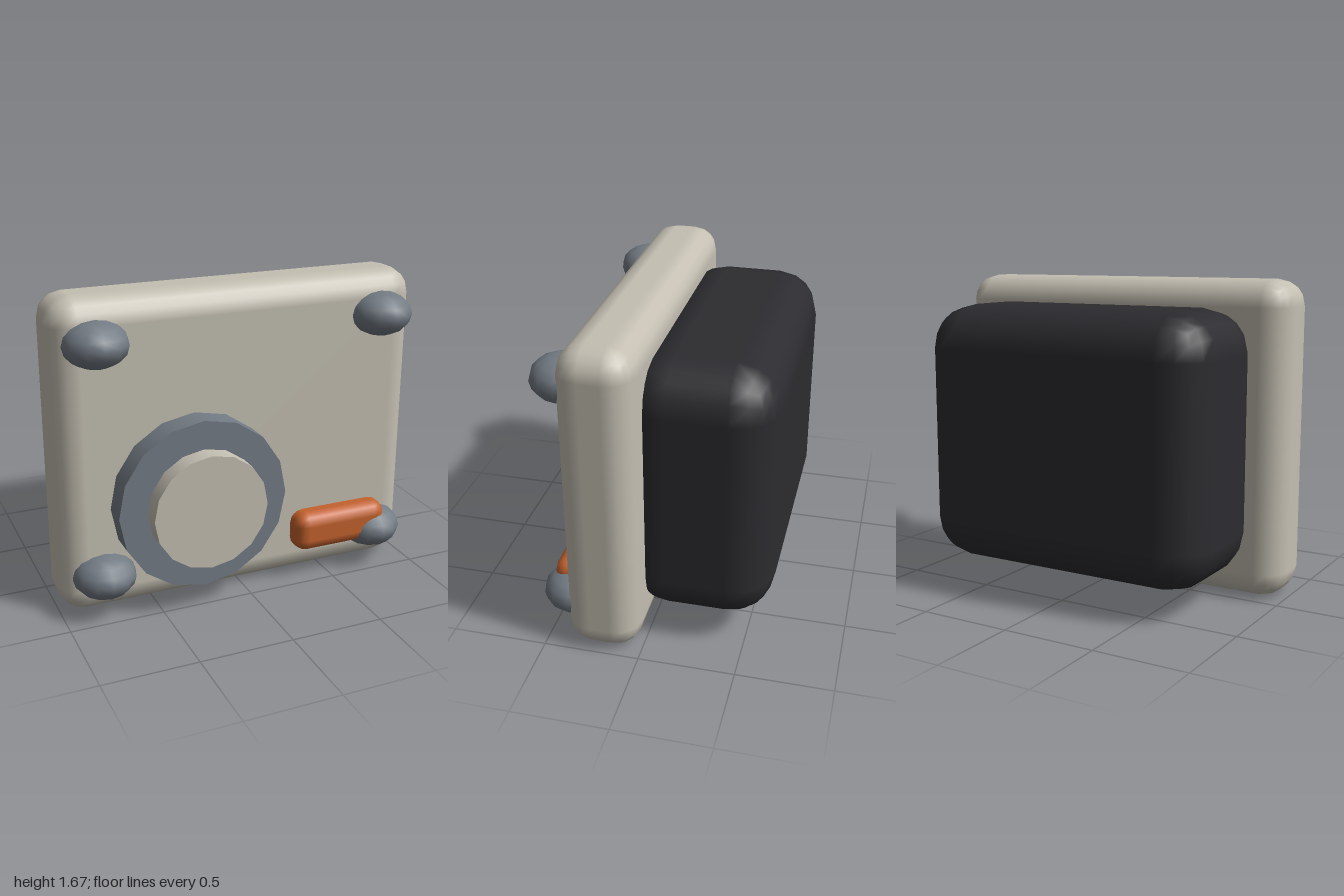
import * as THREE from 'three';
import { RoundedBoxGeometry } from 'three/addons/geometries/RoundedBoxGeometry.js';

export function createModel() {
  const group = new THREE.Group();
  const material = (color) => new THREE.MeshStandardMaterial({ color });
  const cream = material(0xc4bfb2);
  const steel = material(0x737b84);
  const charcoal = material(0x2c2b2f);
  const orange = material(0xc4622d);

  const add = (name, geometry, mat, x, y, z) => {
    const mesh = new THREE.Mesh(geometry, mat);
    mesh.name = name;
    mesh.position.set(x, y, z);
    group.add(mesh);
    return mesh;
  };

  // Front plate and the housing behind it
  add('frontPlate', new RoundedBoxGeometry(2, 1.67, 0.385, 2, 0.14), cream, 0, 0.835, 0.2);
  add('rearHousing', new RoundedBoxGeometry(1.66, 1.39, 0.76, 2, 0.23), charcoal, 0, 0.835, -0.25);

  // Round dial: wide ring with a raised cap, axis along z
  const disc = (name, radius, back, front, mat) => {
    const geometry = new THREE.CylinderGeometry(radius, radius, front - back, 16).rotateX(Math.PI / 2);
    add(name, geometry, mat, -0.28, 0.585, (back + front) / 2);
  };
  disc('dialRing', 0.455, 0.3, 0.53, steel);
  disc('dialCap', 0.305, 0.43, 0.63, cream);

  // Flattened bolts at the four corners
  const boltGeometry = new THREE.SphereGeometry(0.167, 12, 8);
  for (const x of [-0.78, 0.78]) {
    for (const y of [0.225, 1.45]) {
      add('cornerBolt', boltGeometry, steel, x, y, 0.39).scale.y = 0.7;
    }
  }

  // Push button
  add('button', new RoundedBoxGeometry(0.55, 0.22, 0.22, 2, 0.07), orange, 0.555, 0.28, 0.39);

  return group;
}
